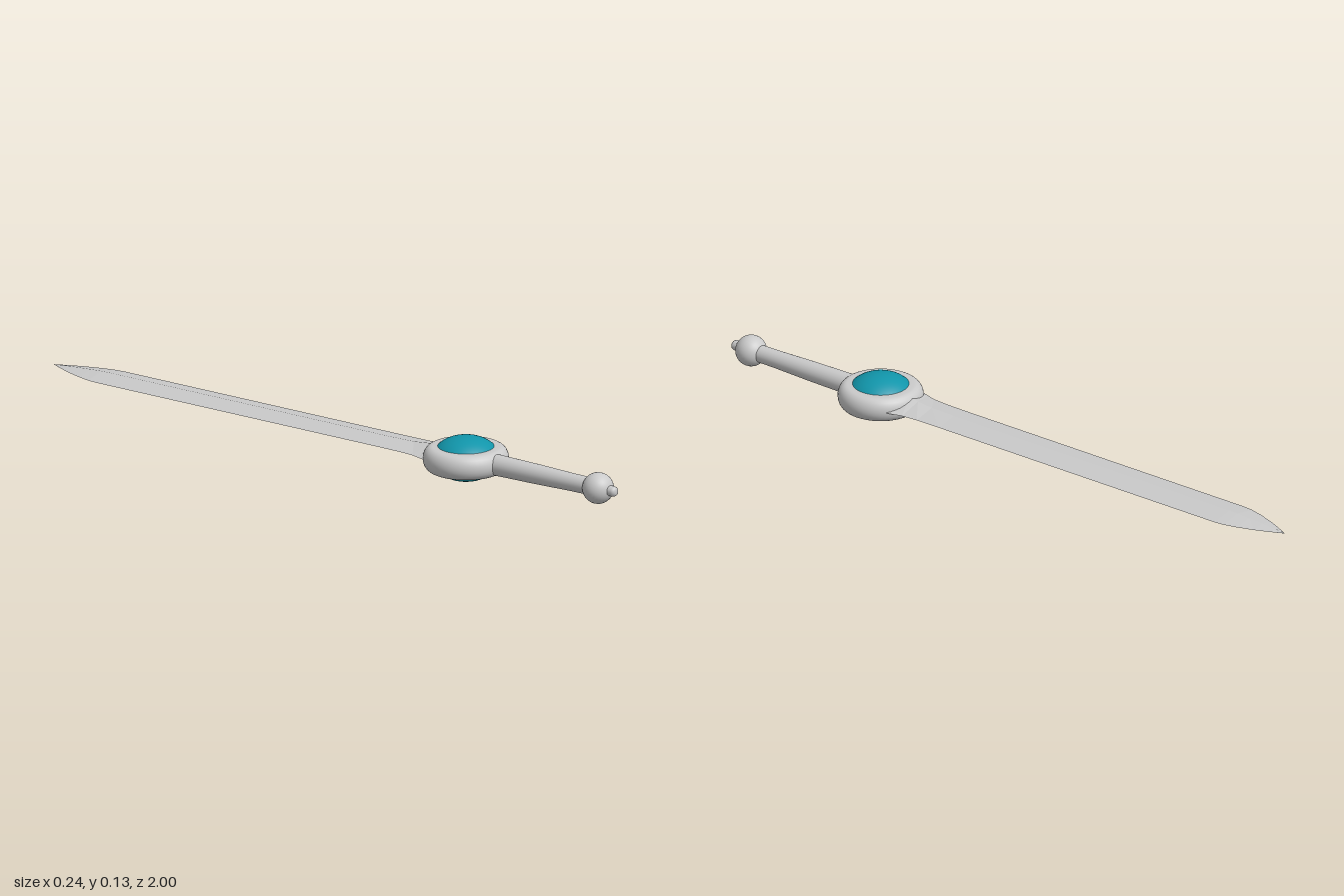
import * as THREE from 'three';

export function createModel() {
  const model = new THREE.Group();
  const steel = new THREE.MeshStandardMaterial({ color: 0xcacaca });
  steel.name = 'steel';
  const teal = new THREE.MeshStandardMaterial({ color: 0x1195aa });
  teal.name = 'teal';
  const midY = 0.065;
  const guardZ = 0.465;

  const add = (name, geometry, material, z) => {
    const mesh = new THREE.Mesh(geometry, material);
    mesh.name = name;
    mesh.position.set(0, midY, z);
    model.add(mesh);
    return mesh;
  };
  const lathe = (points, segments) =>
    new THREE.LatheGeometry(points.map(([r, y]) => new THREE.Vector2(r, y)), segments);

  // Blade: diamond sections [z, half width, half thickness], flaring at the guard
  const sections = [
    [0.4, 0.092, 0.028], [0.36, 0.081, 0.025], [0.33, 0.072, 0.019], [0.28, 0.068, 0.014],
    [0.2, 0.067, 0.0125], [-0.8, 0.067, 0.0125], [-0.83, 0.064, 0.012], [-0.87, 0.054, 0.010],
    [-0.92, 0.037, 0.007], [-0.96, 0.020, 0.004], [-1, 0.0005, 0.0005],
  ];
  const ring = ([z, w, h]) => [[w, 0, z], [0, h, z], [-w, 0, z], [0, -h, z]];
  const positions = [];
  for (let s = 0; s < sections.length - 1; s++) {
    const a = ring(sections[s]);
    const b = ring(sections[s + 1]);
    for (let i = 0; i < 4; i++) {
      const j = (i + 1) % 4;
      positions.push(...a[i], ...b[i], ...a[j], ...b[i], ...b[j], ...a[j]);
    }
  }
  const bladeGeometry = new THREE.BufferGeometry();
  bladeGeometry.setAttribute('position', new THREE.Float32BufferAttribute(positions, 3));
  bladeGeometry.computeVertexNormals();
  add('blade', bladeGeometry, steel, 0);

  // Guard: round disc with a softened rim
  const rim = [[0, -0.036], [0.08, -0.036], [0.095, -0.0355]];
  for (let i = 1; i < 12; i++) {
    const t = -Math.PI / 2 + (Math.PI * i) / 12;
    rim.push([0.095 + 0.027 * Math.cos(t), 0.0355 * Math.sin(t)]);
  }
  rim.push([0.095, 0.0355], [0.08, 0.036], [0, 0.036]);
  add('guard', lathe(rim, 48), steel, guardZ);

  // Gem: flattened ball showing on both faces of the guard
  const gem = add('gem', new THREE.SphereGeometry(1, 40, 24), teal, guardZ);
  gem.scale.set(0.097, 0.064, 0.097);

  // Grip, pommel and end stud along the z axis
  const grip = lathe([[0.031, 0.55], [0.03, 0.6], [0.0285, 0.72], [0.0255, 0.84], [0.025, 0.92]], 32);
  add('grip', grip.rotateX(Math.PI / 2), steel, 0);
  add('pommel', new THREE.SphereGeometry(0.045, 32, 20).rotateX(Math.PI / 2), steel, 0.935);
  const stud = lathe([[0.015, 0.96], [0.015, 0.99], [0.0125, 0.997], [0.007, 1], [0, 1]], 20);
  add('stud', stud.rotateX(Math.PI / 2), steel, 0);

  return model;
}
